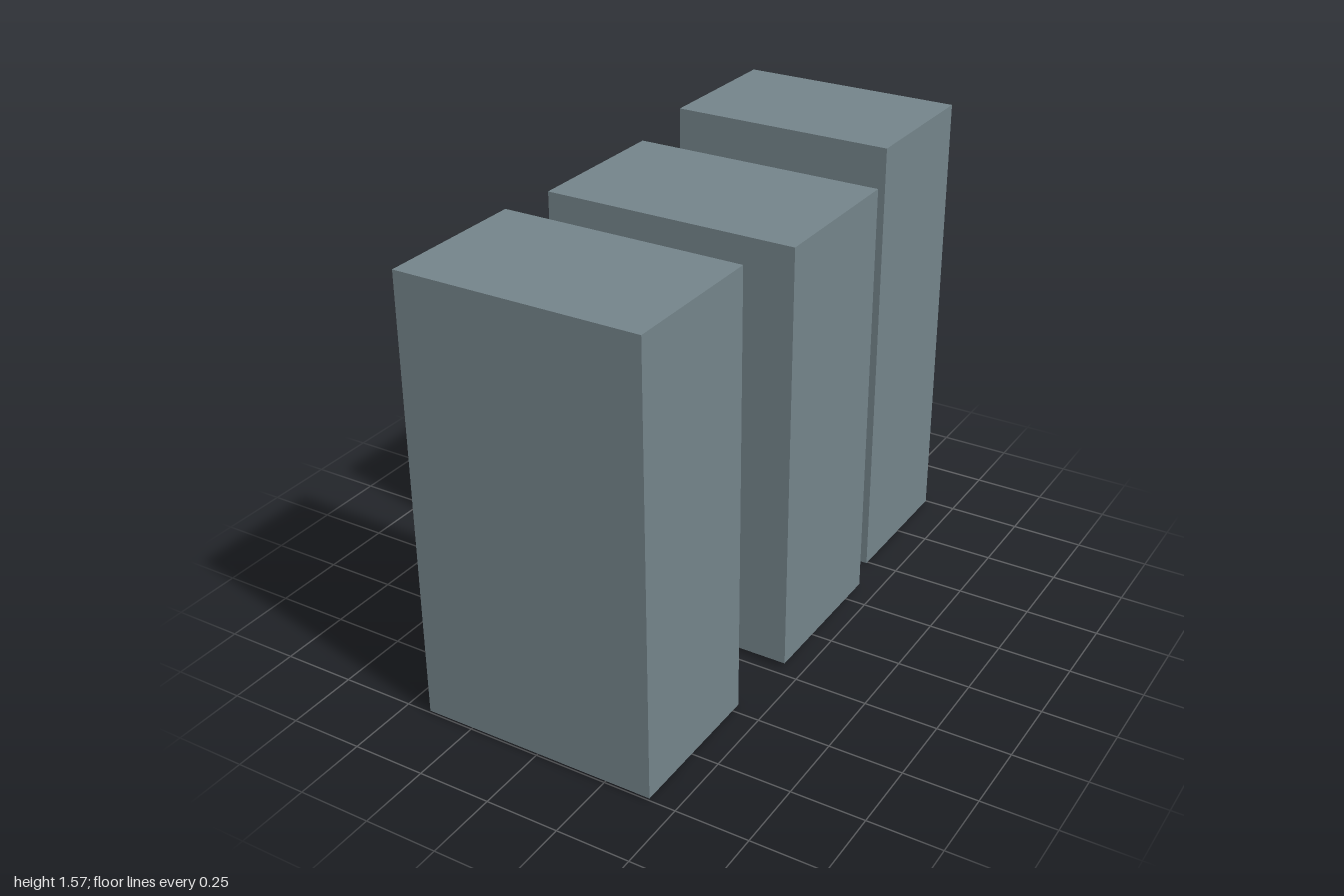
import * as THREE from 'three';

export function createModel() {
  const model = new THREE.Group();
  model.name = 'threeBlocks';
  const slate = new THREE.MeshStandardMaterial({ color: 0x74848a });
  slate.name = 'slateGrey';

  // Each upright block: name, width, bottom and top, back and front
  const blocks = [
    ['frontBlock', 0.822, 0.008, 1.53, 0.472, 1],
    ['middleBlock', 0.876, 0.018, 1.495, -0.333, 0.215],
    ['backBlock', 0.776, 0, 1.57, -1, -0.492],
  ];
  for (const [name, width, bottom, top, back, front] of blocks) {
    const block = new THREE.Mesh(new THREE.BoxGeometry(width, top - bottom, front - back), slate);
    block.name = name;
    block.position.set(0, (bottom + top) / 2, (back + front) / 2);
    model.add(block);
  }
  return model;
}
